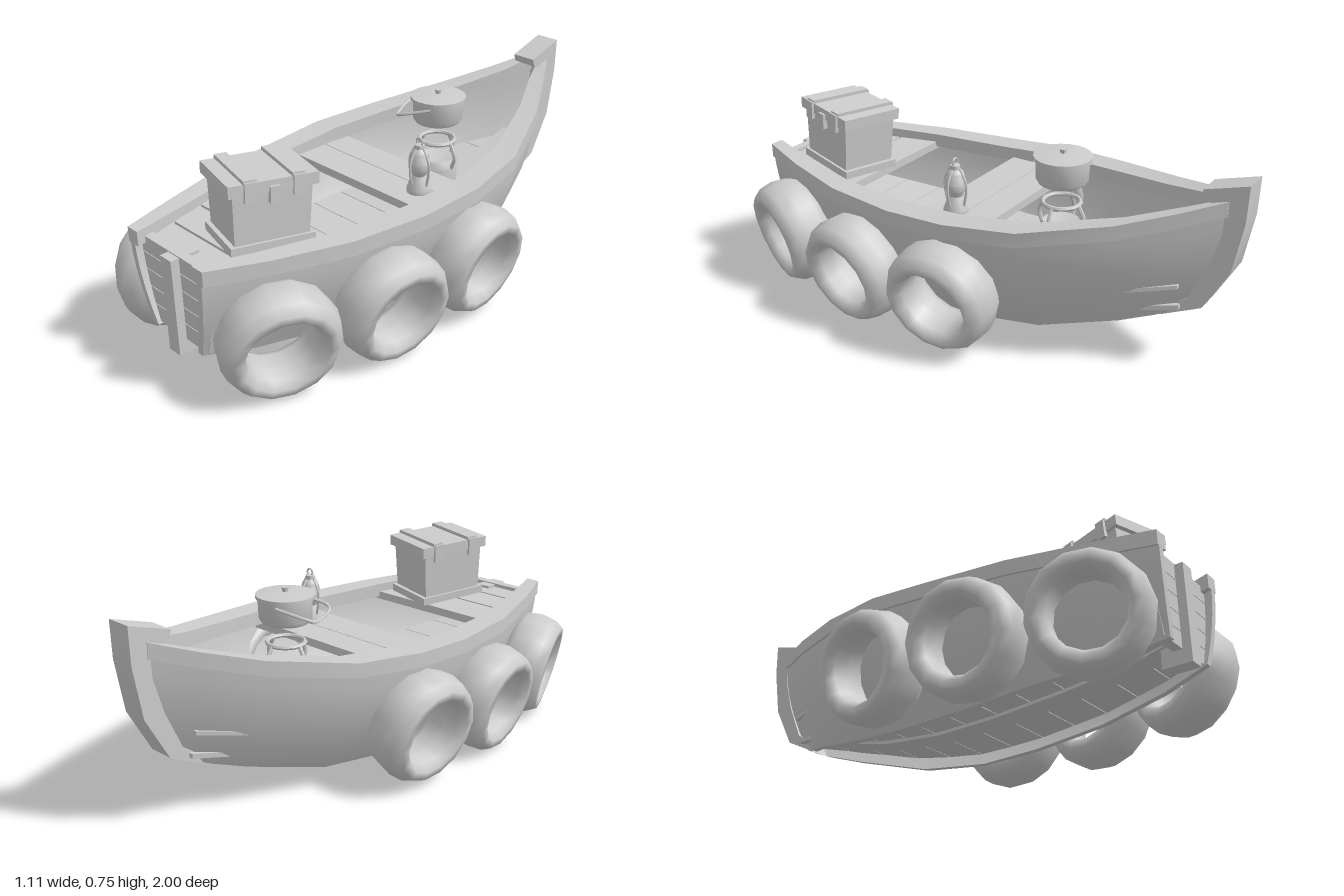
import * as THREE from 'three';
import { toCreasedNormals } from 'three/addons/utils/BufferGeometryUtils.js';

const grey = new THREE.MeshStandardMaterial({ color: 0xcccccc, side: THREE.DoubleSide });
grey.name = 'grey';

// Hull stations: z, top half-width, top height, bottom half-width, bottom height, bottom z
const stations = [
  [0.985, 0.2, 0.51, 0.14, 0.155, 0.965],
  [0.78, 0.28, 0.5, 0.18, 0.115, 0.78],
  [0.5, 0.37, 0.495, 0.235, 0.085, 0.5],
  [0.2, 0.415, 0.498, 0.25, 0.065, 0.2],
  [-0.05, 0.425, 0.515, 0.25, 0.062, -0.05],
  [-0.32, 0.375, 0.535, 0.215, 0.09, -0.32],
  [-0.62, 0.24, 0.59, 0.125, 0.16, -0.6],
  [-0.8, 0.13, 0.64, 0.065, 0.19, -0.71],
  [-0.935, 0.045, 0.685, 0.03, 0.215, -0.78],
];

function at(z) {
  let i = 0;
  while (i < stations.length - 2 && z < stations[i + 1][0]) i++;
  const a = stations[i], b = stations[i + 1];
  const t = (z - a[0]) / (b[0] - a[0]);
  return a.map((v, k) => v + (b[k] - v) * t);
}
const bulge = t => Math.pow(Math.sin(t * Math.PI / 2), 0.9);
function halfWidth(z, y) {
  const [, xt, yt, xb, yb] = at(z);
  const t = THREE.MathUtils.clamp((y - yb) / (yt - yb), 0, 1);
  return xb + (xt - xb) * bulge(t);
}

// Skin a list of closed rings of [x, y, z] points, with capped ends
function loft(rings) {
  const n = rings[0].length, pos = rings.flat(2), idx = [];
  for (let r = 0; r < rings.length - 1; r++) for (let i = 0; i < n; i++) {
    const a = r * n + i, b = r * n + (i + 1) % n;
    idx.push(a, b, a + n, b, b + n, a + n);
  }
  const end = (rings.length - 1) * n;
  for (let i = 0; i < n / 2 - 1; i++) {
    const j = n - 1 - i;
    for (const [o, f] of [[0, 1], [end, 0]]) {
      const q = [o + i, o + j, o + i + 1, o + i + 1, o + j, o + j - 1];
      idx.push(...(f ? q : q.reverse()));
    }
  }
  const g = new THREE.BufferGeometry();
  g.setAttribute('position', new THREE.Float32BufferAttribute(pos, 3));
  g.setIndex(idx);
  return g;
}
const rect = (x0, x1, y0, y1, z) => [[x0, y0, z], [x1, y0, z], [x1, y1, z], [x0, y1, z]];

function add(parent, name, geo, x = 0, y = 0, z = 0) {
  const m = new THREE.Mesh(toCreasedNormals(geo, 0.6), grey);
  m.name = name;
  m.position.set(x, y, z);
  parent.add(m);
  return m;
}
const box = (p, name, w, h, d, x, y, z) => add(p, name, new THREE.BoxGeometry(w, h, d), x, y, z);
const lathe = (pts, n) => new THREE.LatheGeometry(pts.map(p => new THREE.Vector2(...p)), n);
const tube = (pts, r, seg = 16) => new THREE.TubeGeometry(
  new THREE.CatmullRomCurve3(pts.map(p => new THREE.Vector3(...p))), seg, r, 6);

function buildHull(g) {
  for (const s of [1, -1]) {
    // curved side shell with thickness
    add(g, 'hullSide', loft(stations.map(([z, xt, yt, xb, yb, zb]) => {
      const ring = [];
      for (const inset of [0, 0.025]) for (let k = 0; k <= 5; k++) {
        const t = (inset ? 5 - k : k) / 5;
        const x = Math.max(xb + (xt - xb) * bulge(t) - inset, 0.005);
        ring.push([s * x, yb + (yt - 0.02 - yb) * t, zb + (z - zb) * bulge(t)]);
      }
      return ring;
    })));
    // gunwale rail
    add(g, 'gunwale', loft(stations.map(([z, xt, yt], i) => {
      const w = [0.055, 0.075, 0.09, 0.1, 0.105, 0.1, 0.085, 0.07, 0.04][i];
      return rect(s * (xt + 0.008), s * (xt + 0.008 - w), yt - 0.055, yt, z);
    })));
  }
  // bottom planks, and a raised inner floor above them
  const step = 0.145;
  for (let z = 0.94; z > -0.7; z -= step) {
    const ends = [z, z - step + 0.003];
    add(g, 'bottomPlank', loft(ends.map(q => {
      const [, , , xb, yb] = at(q);
      return rect(-xb, xb, yb + 0.05, yb + 0.068, q);
    })));
    add(g, 'floorPlank', loft(ends.map(q => {
      const y = at(q)[4] + 0.16, w = halfWidth(q, y) - 0.01;
      return rect(-w, w, y - 0.015, y, q);
    })));
  }
  // centre boards under the bottom and along the floor
  for (const [name, lift] of [['keelBoard', 0.038], ['floorBoard', 0.158]])
    add(g, name, loft(stations.map(([, , , , yb, zb]) =>
      rect(-0.045, 0.045, yb + lift, yb + lift + 0.015, Math.min(zb, 0.94)))));
  // curved bow post
  const stem = new THREE.Shape([
    [-0.84, 0.705], [-1, 0.755], [-0.997, 0.62], [-0.965, 0.43], [-0.875, 0.265], [-0.725, 0.19],
    [-0.755, 0.24], [-0.82, 0.285], [-0.885, 0.43], [-0.922, 0.56], [-0.925, 0.64], [-0.85, 0.675],
  ].map(p => new THREE.Vector2(-p[0], p[1])));
  const stemGeo = new THREE.ExtrudeGeometry(stem, { depth: 0.1, bevelEnabled: false });
  stemGeo.rotateY(Math.PI / 2).translate(-0.05, 0, 0);
  add(g, 'bowPost', stemGeo);
  // stern boards
  for (let i = 0; i < 5; i++) {
    const y0 = 0.16 + i * 0.064, y1 = y0 + 0.061;
    const a = halfWidth(0.95, y0), b = halfWidth(0.95, y1);
    add(g, 'sternBoard', loft([0.95, 0.915].map(z =>
      [[-a, y0, z], [a, y0, z], [b, y1, z], [-b, y1, z]])));
  }
  box(g, 'sternPost', 0.06, 0.365, 0.11, 0, 0.29, 0.927);
  // thwart and aft deck
  const seats = [[-0.12, 0], [0.003, 0.14], [0.51, 0.665], [0.675, 0.805], [0.815, 0.915]];
  for (const [z0, z1] of seats) add(g, 'seatPlank', loft([z0, z1].map(z => {
    const w = halfWidth(z, 0.44) - 0.015;
    return rect(-w, w, 0.43, 0.462, z);
  })));
}

function buildTyres(g) {
  const profile = [[0.126, 0], [0.13, -0.06], [0.15, -0.092], [0.18, -0.09], [0.204, -0.055], [0.213, 0],
    [0.204, 0.055], [0.18, 0.09], [0.15, 0.092], [0.13, 0.06], [0.126, 0]];
  // centre x, y, z, yaw towards the stern
  const places = [[0.318, 0.22, 0.785, 0.38], [0.42, 0.218, 0.37, 0.12], [0.428, 0.234, -0.045, -0.06]];
  for (const s of [1, -1]) for (const [x, y, z, yaw] of places) {
    const m = new THREE.Mesh(lathe(profile, 14), grey);
    m.name = 'tyre';
    m.position.set(s * x, y, z);
    const axis = new THREE.Vector3(s * Math.cos(yaw), -0.2, Math.sin(yaw)).normalize();
    m.quaternion.setFromUnitVectors(new THREE.Vector3(0, 1, 0), axis);
    g.add(m);
  }
}

function buildChest(g) {
  const c = new THREE.Group();
  c.name = 'chest';
  c.position.set(0.09, 0.462, 0.665);
  c.rotation.set(-0.05, -0.27, 0.03, 'YXZ');
  box(c, 'chestBase', 0.235, 0.03, 0.3, 0, 0.025, 0);
  const body = new THREE.BoxGeometry(0.225, 0.2, 0.28);
  const p = body.attributes.position;
  for (let i = 0; i < p.count; i++) if (p.getY(i) < 0) p.setX(i, p.getX(i) * 0.95).setZ(i, p.getZ(i) * 0.95);
  add(c, 'chestBody', body, 0, 0.125, 0);
  box(c, 'chestLid', 0.25, 0.042, 0.315, 0, 0.238, 0);
  for (const z of [-0.085, 0.085]) {
    box(c, 'lidStrap', 0.255, 0.016, 0.045, 0, 0.264, z);
    for (const s of [1, -1]) box(c, 'strapEnd', 0.014, 0.07, 0.04, s * 0.128, 0.23, z);
  }
  box(c, 'latch', 0.018, 0.06, 0.035, 0.126, 0.21, 0);
  g.add(c);
}

function buildLantern(g) {
  const l = new THREE.Group();
  l.name = 'lantern';
  l.position.set(0.225, 0.462, 0.035);
  add(l, 'lanternBase', lathe([[0, 0], [0.046, 0], [0.046, 0.014], [0.034, 0.045], [0.026, 0.065], [0, 0.065]], 12));
  add(l, 'lanternGlass', lathe([[0.024, 0.065], [0.038, 0.09], [0.04, 0.115], [0.026, 0.148]], 12));
  add(l, 'lanternCap', lathe([[0, 0.146], [0.034, 0.146], [0.03, 0.158], [0.018, 0.17], [0.018, 0.185], [0, 0.192]], 12));
  for (let i = 0; i < 4; i++)
    add(l, 'lanternFrame', tube([[0.036, 0.03, 0], [0.047, 0.085, 0], [0.045, 0.125, 0], [0.02, 0.172, 0]], 0.005))
      .rotation.y = i * Math.PI / 2;
  add(l, 'lanternRing', new THREE.TorusGeometry(0.014, 0.004, 6, 12), 0, 0.196, 0);
  g.add(l);
}

function buildCooking(g) {
  const c = new THREE.Group();
  c.name = 'cookingPot';
  c.position.set(0.015, 0, -0.29);
  add(c, 'pot', lathe([[0, 0.585], [0.088, 0.585], [0.097, 0.6], [0.1, 0.675], [0, 0.675]], 20));
  add(c, 'potLid', lathe([[0.098, 0.672], [0.108, 0.675], [0.108, 0.688], [0.06, 0.694], [0, 0.697]], 20));
  add(c, 'lidKnob', new THREE.CylinderGeometry(0.013, 0.01, 0.018, 8), 0, 0.703, 0);
  // bail swung down to one side
  const bail = [[-0.1, 0.66, 0], [-0.1, 0.63, 0.12], [-0.08, 0.62, 0.14], [0.08, 0.62, 0.14], [0.1, 0.63, 0.12], [0.1, 0.66, 0]];
  add(c, 'potHandle', tube(bail, 0.006, 30)).rotation.y = -1.1;
  // small stove on the floor under the pot
  add(c, 'stoveBowl', lathe([[0, 0.24], [0.07, 0.24], [0.08, 0.3], [0.085, 0.4], [0.07, 0.43], [0, 0.41]], 12));
  add(c, 'stoveRing', new THREE.TorusGeometry(0.07, 0.008, 6, 16).rotateX(Math.PI / 2), 0, 0.505, 0);
  for (let i = 0; i < 4; i++)
    add(c, 'stoveArm', tube([[0.08, 0.4, 0], [0.095, 0.45, 0], [0.07, 0.505, 0]], 0.008, 8)).rotation.y = i * Math.PI / 2;
  g.add(c);
}

export function createModel() {
  const model = new THREE.Group();
  model.name = 'boat';
  buildHull(model);
  buildTyres(model);
  buildChest(model);
  buildLantern(model);
  buildCooking(model);
  return model;
}
